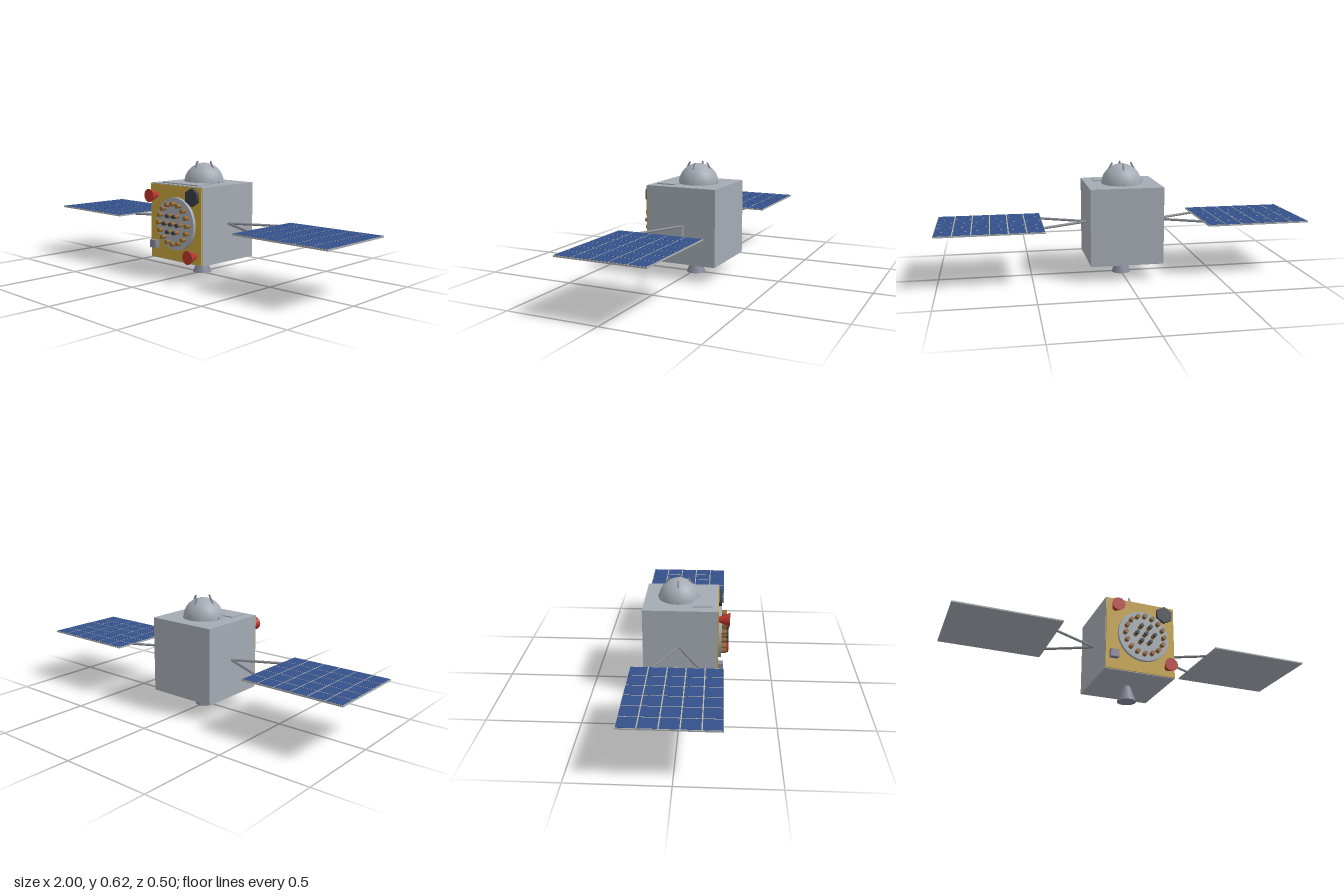
import * as THREE from 'three';

const mat = (name, color) => {
  const m = new THREE.MeshStandardMaterial({ color });
  m.name = name;
  return m;
};

export function createModel() {
  const grey = mat('hull grey', 0xa4abb3);
  const gold = mat('gold foil', 0xc4a23c);
  const red = mat('thruster red', 0xb8352c);
  const dark = mat('dark slate', 0x363c46);
  const bronze = mat('bronze', 0x94692f);
  const blue = mat('solar blue', 0x34508a);
  const beige = mat('grid beige', 0xb9b5a6);
  const violet = mat('engine grey', 0x86879a);
  const steel = mat('strut steel', 0x85898e);

  const root = new THREE.Group();
  root.name = 'satellite';

  const add = (name, geo, material, x, y, z, parent = root) => {
    const m = new THREE.Mesh(geo, material);
    m.name = name;
    m.position.set(x, y, z);
    parent.add(m);
    return m;
  };
  const box = (name, material, w, h, d, x, y, z, parent) =>
    add(name, new THREE.BoxGeometry(w, h, d), material, x, y, z, parent);
  // Cylinder pointing forward, from z0 to z1
  const forward = (name, material, rBack, rFront, sides, x, y, z0, z1, parent) =>
    add(name, new THREE.CylinderGeometry(rFront, rBack, z1 - z0, sides).rotateX(Math.PI / 2),
      material, x, y, (z0 + z1) / 2, parent);
  // Straight rod between two points
  const rod = (name, material, a, b, r, parent) => {
    const m = add(name, new THREE.CylinderGeometry(r, r, a.distanceTo(b), 8), material, 0, 0, 0, parent);
    m.position.copy(a).lerp(b, 0.5);
    m.quaternion.setFromUnitVectors(new THREE.Vector3(0, 1, 0), b.clone().sub(a).normalize());
  };
  const group = (name) => {
    const g = new THREE.Group();
    g.name = name;
    root.add(g);
    return g;
  };

  // Hull, front foil and top hatch
  box('hull', grey, 0.394, 0.416, 0.397, 0, 0.296, -0.0115);
  box('frontFoil', gold, 0.39, 0.408, 0.008, 0, 0.296, 0.189);
  box('topHatch', grey, 0.28, 0.006, 0.105, 0, 0.507, 0.1055);

  // Main engine nozzle
  add('engineNozzle', new THREE.CylinderGeometry(0.02, 0.052, 0.09, 24), violet, 0, 0.045, -0.0125);

  // Dome with four slanted antenna rods
  const domeZ = -0.027;
  add('dome', new THREE.SphereGeometry(0.11, 24, 8, 0, Math.PI * 2, 0, Math.PI / 2), grey, 0, 0.502, domeZ);
  const antennas = group('antennas');
  for (let i = 0; i < 4; i++) {
    const c = Math.cos(i * Math.PI / 2), s = Math.sin(i * Math.PI / 2);
    const at = (r, y) => new THREE.Vector3(c * r, y, domeZ + s * r);
    rod('antennaRod', violet, at(0.11, 0.508), at(0.051, 0.617), 0.0048, antennas);
  }

  // Instrument disc with a ring of posts and a hexagonal inner cluster
  const dx = 0.012, dy = 0.297;
  const instrument = group('instrument');
  forward('instrumentDisc', grey, 0.143, 0.143, 40, dx, dy, 0.19, 0.21, instrument);
  for (let i = 0; i < 16; i++) {
    const a = (i / 16) * Math.PI * 2;
    forward('ringPost', bronze, 0.0115, 0.0115, 12,
      dx + Math.cos(a) * 0.109, dy + Math.sin(a) * 0.109, 0.205, 0.238, instrument);
  }
  for (let i = 0; i < 7; i++) {
    const r = i === 6 ? 0 : 0.05, a = i * Math.PI / 3;
    const x = dx + Math.cos(a) * r, y = dy + Math.sin(a) * r;
    forward('innerPost', bronze, 0.0108, 0.0108, 12, x, y, 0.205, 0.238, instrument);
    forward('innerPostTip', dark, 0.0108, 0.0108, 12, x, y, 0.238, 0.249, instrument);
  }

  // Front fittings: two thrusters, a hexagonal sensor and a small box
  forward('upperThruster', red, 0.014, 0.0365, 20, -0.147, 0.44, 0.192, 0.252);
  forward('lowerThruster', red, 0.014, 0.0365, 20, 0.15, 0.138, 0.192, 0.252);
  forward('hexSensor', dark, 0.049, 0.049, 6, 0.135, 0.449, 0.19, 0.209);
  box('sensorBox', violet, 0.045, 0.042, 0.03, -0.154, 0.169, 0.206);

  // Solar wings, mirrored left and right
  const y = 0.295, zc = -0.0125, w = 0.565, d = 0.474, cols = 6, rows = 5;
  const cw = w / cols, cd = d / rows, line = 0.006;
  for (const side of [1, -1]) {
    const wing = group(side > 0 ? 'leftWing' : 'rightWing');
    const xc = side * (1 - w / 2);
    box('panel', grey, w, 0.006, d, xc, y - 0.001, zc, wing);
    box('panelGrid', beige, w, 0.002, d, xc, y + 0.003, zc, wing);
    for (let i = 0; i < cols; i++) for (let j = 0; j < rows; j++) {
      box('solarCell', blue, cw - line, 0.001, cd - line,
        xc + (i - (cols - 1) / 2) * cw, y + 0.0045, zc + (j - (rows - 1) / 2) * cd, wing);
    }
    for (const k of [1, -1]) {
      rod('strut', steel, new THREE.Vector3(side * 0.195, y, -0.018 + k * 0.003),
        new THREE.Vector3(side * 0.438, y, -0.018 + k * 0.122), 0.0068, wing);
    }
  }
  return root;
}
